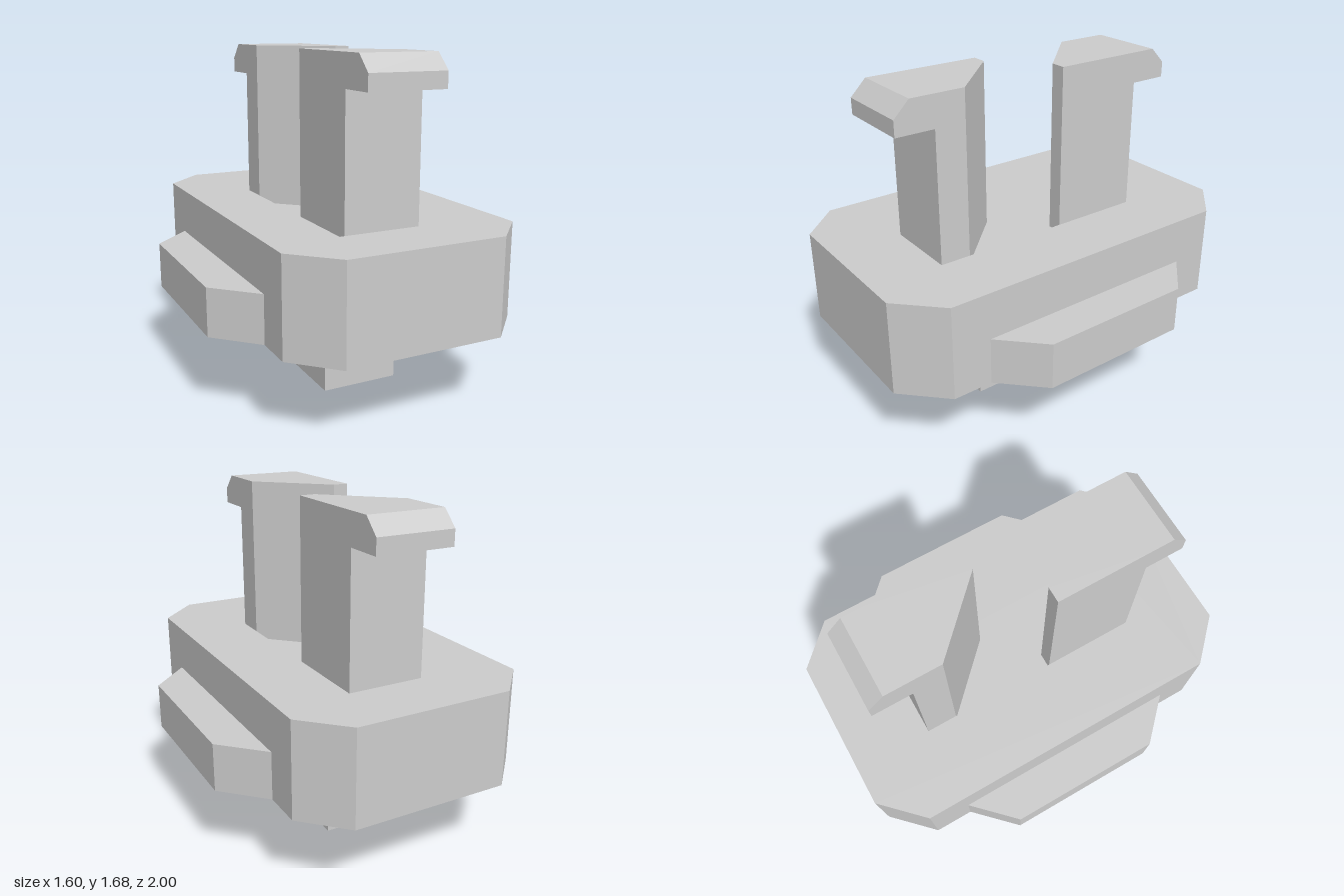
import * as THREE from 'three';

const material = new THREE.MeshStandardMaterial({ color: 0xcccccc, flatShading: true });

// Upright prism from a plan outline of [x, z] points, with an optional hole
function prism(name, plan, y0, y1, hole) {
  const toVec = ([x, z]) => new THREE.Vector2(x, -z);
  const shape = new THREE.Shape(plan.map(toVec));
  if (hole) shape.holes.push(new THREE.Path(hole.map(toVec)));
  const geo = new THREE.ExtrudeGeometry(shape, { depth: y1 - y0, bevelEnabled: false });
  geo.rotateX(-Math.PI / 2).translate(0, y0, 0);
  const mesh = new THREE.Mesh(geo, material);
  mesh.name = name;
  return mesh;
}

const rect = (x, z) => [[-x, -z], [x, -z], [x, z], [-x, z]];

// Upright post with a slanted inner face and an outward hook, at the back
function hookedPost(name) {
  const post = new THREE.Group();
  post.name = name;
  post.add(prism('postShaft',
    [[0.2, -0.12], [0.12, -0.12], [-0.2, -0.44], [-0.2, -0.6], [0.2, -0.6]], 0.8, 1.68));

  // Hook profile in (-z, y), swept across x
  const profile = [[0.6, 1.52], [0.8, 1.52], [0.8, 1.6], [0.72, 1.68], [0.6, 1.68]];
  const geo = new THREE.ExtrudeGeometry(
    new THREE.Shape(profile.map(([d, y]) => new THREE.Vector2(d, y))),
    { depth: 0.4, bevelEnabled: false });
  geo.translate(0, 0, -0.2).rotateY(Math.PI / 2);
  const hook = new THREE.Mesh(geo, material);
  hook.name = 'hook';
  post.add(hook);
  return post;
}

export function createModel() {
  const model = new THREE.Group();
  model.name = 'connector';

  // Body with chamfered corners and a stepped pocket in its top
  const outline = [[-0.4, -1], [0.4, -1], [0.6, -0.8], [0.6, 0.8],
    [0.4, 1], [-0.4, 1], [-0.6, 0.8], [-0.6, -0.8]];
  model.add(
    prism('body', outline, 0.4, 0.8),
    prism('pocketLedge', outline, 0.8, 0.84, rect(0.2, 0.6)),
    prism('pocketRim', outline, 0.84, 0.88, rect(0.28, 0.68)));

  // Side flanges
  for (const [name, s] of [['leftFlange', 1], ['rightFlange', -1]]) {
    model.add(prism(name,
      [[0.6 * s, -0.6], [0.8 * s, -0.4], [0.8 * s, 0.4], [0.6 * s, 0.6]], 0.4, 0.64));
  }

  // Key under the body
  model.add(prism('bottomKey', rect(0.2, 0.4), 0, 0.4));

  // The front post is the back one turned half round
  const front = hookedPost('frontPost');
  front.rotation.y = Math.PI;
  model.add(hookedPost('backPost'), front);

  return model;
}
